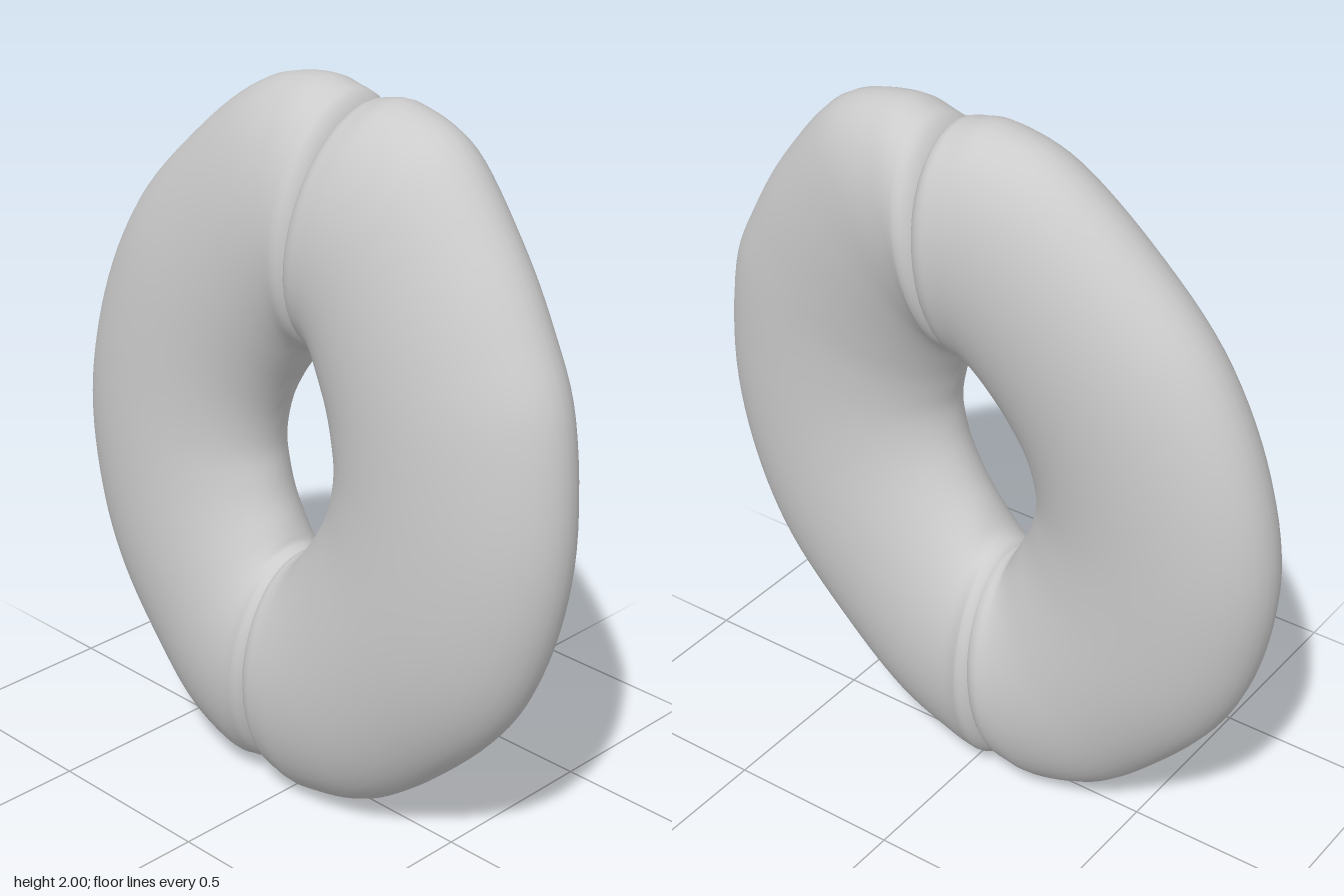
import * as THREE from 'three';

// Matching points along the outer and inner edges of a half, from seam to seam.
// The left half is listed upside down and spun half a turn into place.
const INNER = [
  [0.02, 1.3], [-0.01, 1.28], [-0.05, 1.23], [-0.1, 1.16], [-0.14, 1.08], [-0.16, 1.01],
  [-0.165, 0.94], [-0.15, 0.87], [-0.13, 0.81], [-0.1, 0.75], [-0.085, 0.72], [-0.075, 0.7],
  [-0.06, 0.69],
];
const OUTER_RIGHT = [
  [0.04, 1.985], [-0.07, 2.0], [-0.25, 1.95], [-0.47, 1.785], [-0.69, 1.55], [-0.83, 1.26],
  [-0.885, 0.95], [-0.84, 0.65], [-0.73, 0.41], [-0.54, 0.19], [-0.39, 0.065], [-0.22, 0.005],
  [-0.12, 0.02],
];
const OUTER_LEFT = [
  [0.03, 1.995], [-0.07, 2.0], [-0.28, 1.935], [-0.49, 1.78], [-0.71, 1.55], [-0.83, 1.3],
  [-0.88, 1.0], [-0.845, 0.67], [-0.75, 0.46], [-0.62, 0.265], [-0.44, 0.07], [-0.25, 0.01],
  [-0.14, 0.025],
];
const RINGS = 72, SIDES = 40, CAP_RINGS = 7, CAP_LENGTH = 0.07;

const curve = (points) => new THREE.CatmullRomCurve3(
  points.map(([x, y]) => new THREE.Vector3(x, y, 0)), false, 'catmullrom');

// Soft tube lofted between the two edge curves; turn = -1 spins it half a turn
function halfGeometry(outerPoints, turn, zShift, midDepth) {
  const outer = curve(outerPoints), inner = curve(INNER);
  const centre = (t) => outer.getPoint(t).add(inner.getPoint(t)).multiplyScalar(0.5);
  const sections = [];
  const addSection = (t, shift, scale) => {
    const c = centre(t);
    const w = outer.getPoint(t).sub(inner.getPoint(t)).multiplyScalar(0.5 * scale);
    if (shift) {
      const d = t === 0 ? centre(0).sub(centre(0.02)) : centre(1).sub(centre(0.98));
      c.addScaledVector(d.normalize(), shift);
    }
    const depth = THREE.MathUtils.lerp(midDepth, 0.228, Math.abs(2 * t - 1) ** 1.8) * scale;
    sections.push({ c, w, depth, bulge: Math.sin(Math.PI * t) });
  };
  // Rounded ends bulge into the seam
  const cap = (t, k) => {
    const a = (k / CAP_RINGS) * Math.PI / 2;
    addSection(t, CAP_LENGTH * Math.sin(a), Math.max(Math.cos(a), 0) ** 0.5);
  };
  for (let k = CAP_RINGS; k > 0; k--) cap(0, k);
  for (let i = 0; i <= RINGS; i++) addSection(i / RINGS, 0, 1);
  for (let k = 1; k <= CAP_RINGS; k++) cap(1, k);

  const pos = [], index = [];
  sections.forEach(({ c, w, depth, bulge }, i) => {
    for (let j = 0; j < SIDES; j++) {
      const a = (j / SIDES) * Math.PI * 2;
      const u = Math.cos(a), v = Math.sin(a);
      const x = turn * (c.x + w.x * u);
      const y = 1 + turn * (c.y + w.y * u - 1);
      // The ring leans back towards the top and its rim sits slightly behind the middle
      pos.push(x, y, depth * v - 0.04 * (y - 1) + zShift * bulge - 0.018 * u);
      if (i < sections.length - 1) {
        const p = i * SIDES + j, q = i * SIDES + (j + 1) % SIDES;
        index.push(p, p + SIDES, q, q, p + SIDES, q + SIDES);
      }
    }
  });
  const g = new THREE.BufferGeometry();
  g.setAttribute('position', new THREE.Float32BufferAttribute(pos, 3));
  g.setIndex(index);
  g.computeVertexNormals();
  return g;
}

export function createModel() {
  const group = new THREE.Group();
  group.name = 'splitRing';
  const material = new THREE.MeshStandardMaterial({ color: 0xcccccc });
  const addHalf = (name, ...shape) => {
    const mesh = new THREE.Mesh(halfGeometry(...shape), material);
    mesh.name = name;
    group.add(mesh);
  };
  addHalf('rightHalf', OUTER_RIGHT, 1, -0.005, 0.2);
  addHalf('leftHalf', OUTER_LEFT, -1, 0.055, 0.19);
  return group;
}
